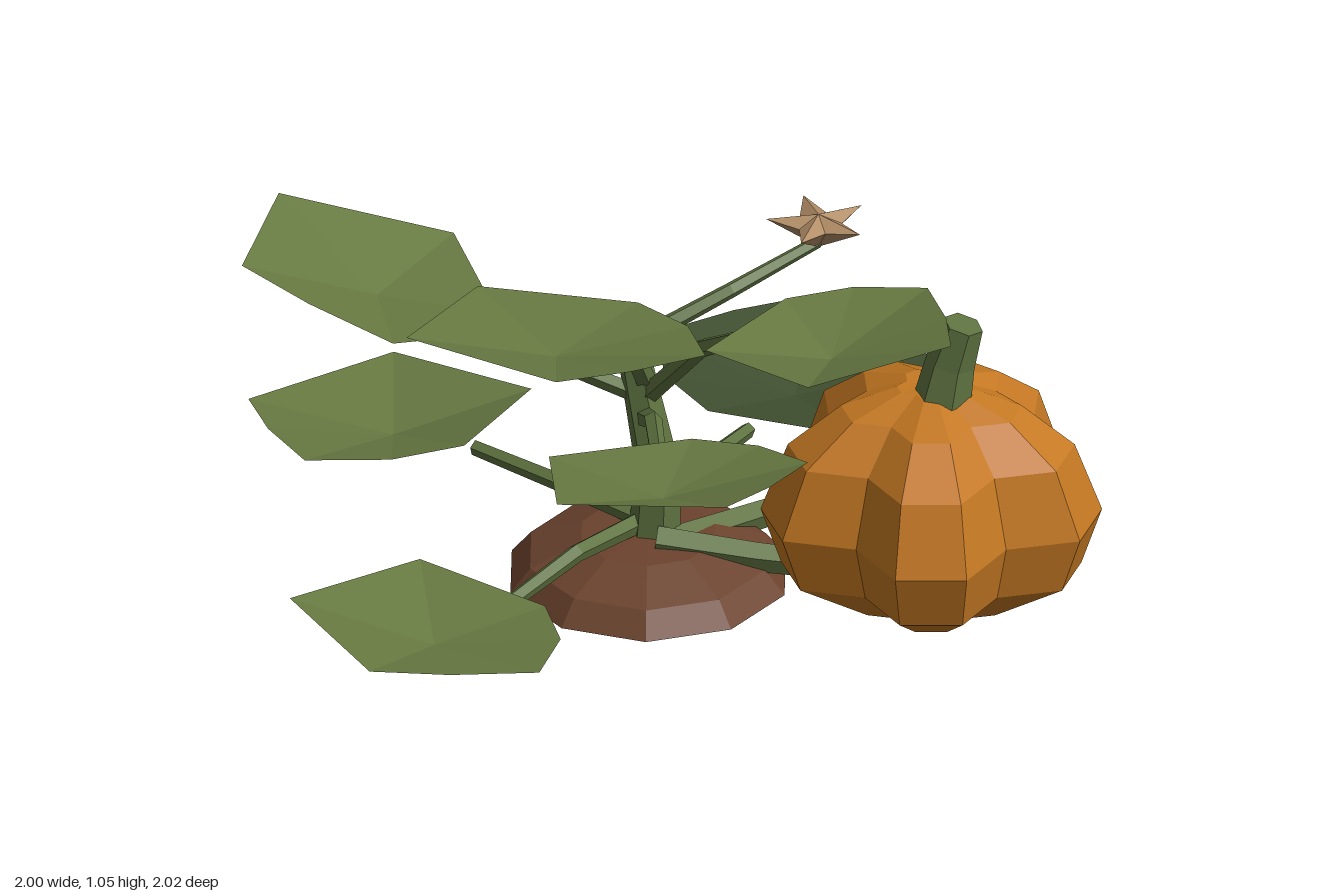
import * as THREE from 'three';

const mat = (name, color) => {
  const m = new THREE.MeshStandardMaterial({ color, side: THREE.DoubleSide });
  m.name = name;
  return m;
};

export function createModel() {
  const leafGreen = mat('leaf green', 0x687a42);
  const darkLeaf = mat('dark leaf green', 0x3f4f2f);
  const stemGreen = mat('stem green', 0x5e7240);
  const orange = mat('pumpkin orange', 0xc47822);
  const soil = mat('soil brown', 0x6c432e);
  const petal = mat('petal tan', 0xb18c66);

  const root = new THREE.Group();
  root.name = 'pumpkinPlant';

  // Faceted mesh: unshared corners give every face its own normal
  const add = (name, geometry, material, parent = root) => {
    const g = geometry.index ? geometry.toNonIndexed() : geometry;
    g.computeVertexNormals();
    const mesh = new THREE.Mesh(g, material);
    mesh.name = name;
    parent.add(mesh);
  };

  // Fan of triangles from a centre point to a closed rim
  const fan = (centre, rim) => {
    const pos = [];
    rim.forEach((p, i) => pos.push(...centre, ...rim[(i + 1) % rim.length], ...p));
    const g = new THREE.BufferGeometry();
    g.setAttribute('position', new THREE.Float32BufferAttribute(pos, 3));
    return g;
  };

  // Tapered stalk along a curve, with a flat cap at its tip
  const limb = (name, points, r0, r1, sides = 5, segs = 2) => {
    const curve = new THREE.CatmullRomCurve3(points.map((p) => new THREE.Vector3(...p)));
    const g = new THREE.TubeGeometry(curve, segs, 1, sides, false);
    const pos = g.attributes.position;
    const v = new THREE.Vector3();
    const tip = [];
    for (let k = 0; k < pos.count; k++) {
      const ring = Math.floor(k / (sides + 1));
      const t = ring / segs;
      const c = curve.getPointAt(t);
      v.fromBufferAttribute(pos, k).sub(c).multiplyScalar(r0 + (r1 - r0) * t).add(c);
      pos.setXYZ(k, v.x, v.y, v.z);
      if (ring === segs) tip.push(v.toArray());
    }
    add(name, g, stemGreen);
    add(name + 'Cap', fan(points[points.length - 1], tip), stemGreen);
  };

  // Soil mound
  const mound = [[0, 0], [0.35, 0], [0.3, 0.06], [0.17, 0.112], [0, 0.125]];
  add('soilMound', new THREE.LatheGeometry(mound.map((p) => new THREE.Vector2(...p)), 10, 0.3), soil);

  // Pumpkin: five double-edged lobes, each ring [height, scale]
  const rings = [[0, 0.001], [0, 0.43], [0.12, 0.88], [0.27, 1], [0.445, 0.84], [0.545, 0.53], [0.59, 0.2], [0.585, 0.001]];
  const N = 15;
  const verts = [], idx = [];
  rings.forEach(([y, s], j) => {
    for (let i = 0; i < N; i++) {
      const a = (i / N) * Math.PI * 2;
      const r = (i % 3 === 0 ? 0.31 : 0.417) * s;
      verts.push(0.616 + r * Math.cos(a), y, 0.33 + r * Math.sin(a));
      if (j === rings.length - 1) continue;
      const p = j * N + i, q = j * N + ((i + 1) % N);
      idx.push(p, p + N, q, q, p + N, q + N);
    }
  });
  const pumpkin = new THREE.BufferGeometry();
  pumpkin.setAttribute('position', new THREE.Float32BufferAttribute(verts, 3));
  pumpkin.setIndex(idx);
  add('pumpkin', pumpkin, orange);
  limb('pumpkinStem', [[0.63, 0.56, 0.37], [0.65, 0.66, 0.37], [0.68, 0.775, 0.385]], 0.072, 0.05, 6);

  // Main stalk, and two vines running along the ground
  limb('mainStalk', [[0.015, 0.08, 0], [0.02, 0.3, 0], [-0.01, 0.5, -0.03], [-0.03, 0.67, -0.065]], 0.066, 0.037, 6, 5);
  limb('sideVine', [[0.05, 0.1, 0.04], [0.4, 0.06, -0.12], [0.71, 0.06, -0.25]], 0.042, 0.03);
  limb('pumpkinVine', [[0, 0.12, 0.06], [0.2, 0.09, 0.14], [0.45, 0.06, 0.23]], 0.042, 0.035);

  // Leaf outline shared by all leaves: [angle from the outward direction, radius]
  const outline = [[-162, 0.3], [-126, 0.32], [-92, 0.375], [-55, 0.32], [-22, 0.365], [53, 0.365], [126, 0.35]];
  const dish = 0.07;

  // Dished leaf, tilted by slopes sx and sz, on a bent stalk that leaves the main stalk at height from
  const leaf = (name, [cx, cy, cz], heading, scale, [sx, sz], [from, bend], material = leafGreen) => {
    const rim = outline.map(([deg, r]) => {
      const a = THREE.MathUtils.degToRad(heading + deg);
      const dx = r * scale * Math.cos(a), dz = r * scale * Math.sin(a);
      return [cx + dx, cy + sx * dx + sz * dz, cz + dz];
    });
    add(name, fan([cx, cy - dish, cz], rim), material);
    const end = [cx * 0.68, cy - 0.045 - 0.32 * (sx * cx + sz * cz), cz * 0.68];
    limb(name + 'Stalk', [[0, from, -0.02], [cx * 0.35, bend, cz * 0.35], end], 0.027, 0.02);
  };
  leaf('backLowLeaf', [-0.44, 0.187, -0.65], 235, 1, [0, 0.12], [0.14, 0.16]);
  leaf('darkLowLeaf', [0.55, 0.185, -0.54], -45, 1, [-0.03, -0.03], [0.14, 0.165], darkLeaf);
  leaf('frontLowLeaf', [-0.67, 0.185, 0.385], 156, 0.98, [-0.09, 0.04], [0.14, 0.16]);
  leaf('leftHighLeaf', [-0.64, 0.865, -0.16], 194, 1, [-0.28, -0.06], [0.55, 0.71]);
  leaf('topLeaf', [-0.39, 0.987, 0.48], 130, 1.03, [-0.1, 0.15], [0.52, 0.81]);
  leaf('rightHighLeaf', [0.28, 0.918, 0.58], 65, 0.88, [0.06, 0.12], [0.48, 0.73]);
  leaf('frontHighLeaf', [-0.18, 0.663, 0.68], 104, 0.94, [-0.02, 0.22], [0.42, 0.55]);

  // Star flowers: shallow top, cone underneath
  const flower = (name, [x, y, z], radius, turn, stalk) => {
    const g = new THREE.Group();
    g.name = name;
    g.position.set(x, y, z);
    root.add(g);
    const star = [];
    for (let i = 0; i < 10; i++) {
      const a = turn + (i / 10) * Math.PI * 2;
      const r = i % 2 ? radius * 0.45 : radius;
      star.push([r * Math.cos(a), i % 2 ? 0.02 : 0.03, r * Math.sin(a)]);
    }
    add(name + 'Top', fan([0, 0.045, 0], star), petal, g);
    add(name + 'Underside', fan([0, -0.045, 0], [...star].reverse()), petal, g);
    limb(name + 'Stalk', [...stalk, [x, y - 0.03, z]], 0.024, 0.016);
  };
  flower('rightFlower', [0.475, 0.803, -0.125], 0.127, -1.55, [[-0.01, 0.62, -0.05], [0.2, 0.7, -0.06]]);
  flower('leftFlower', [-0.455, 0.65, -0.3], 0.115, -0.25, [[-0.01, 0.48, -0.03], [-0.22, 0.56, -0.15]]);

  return root;
}
